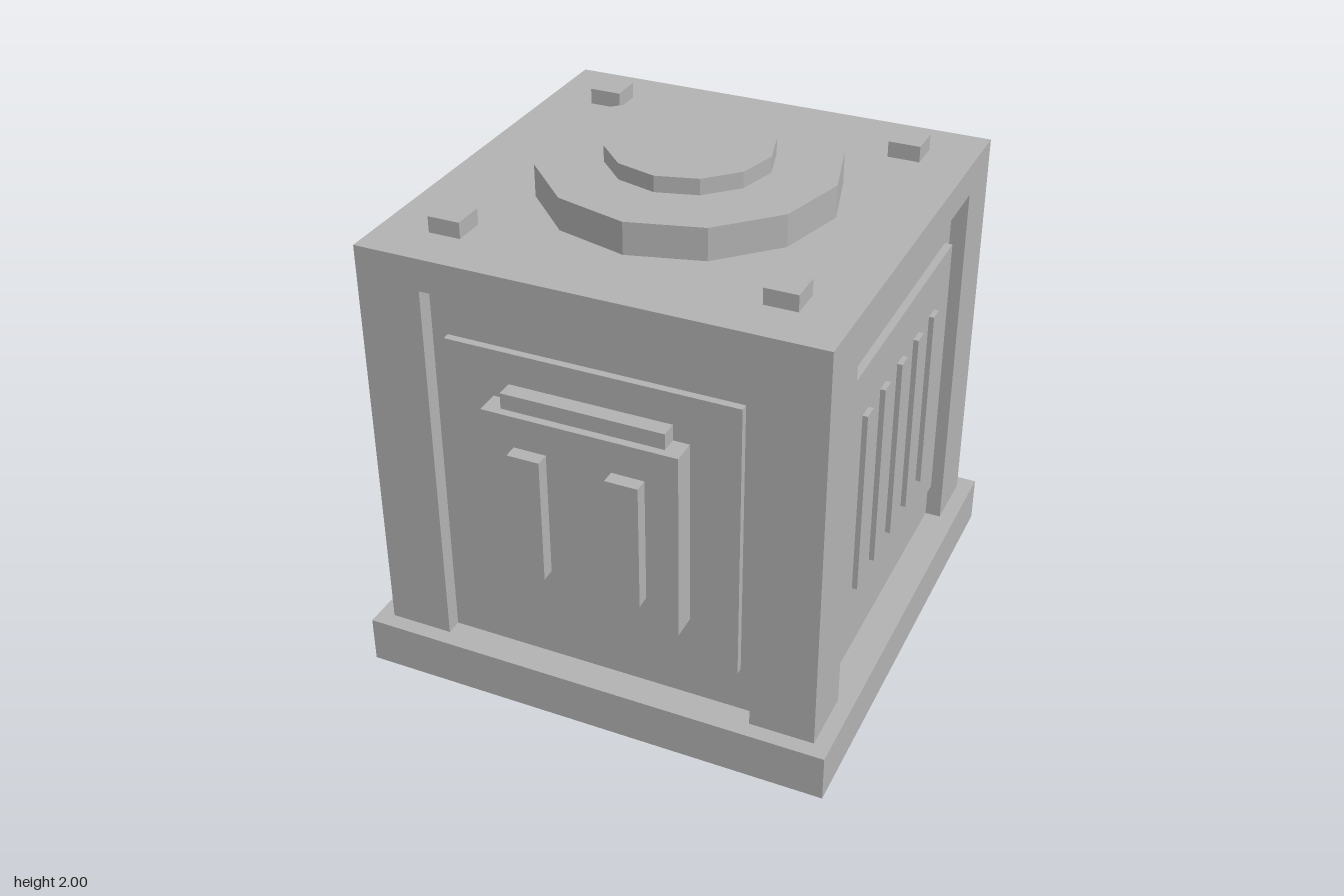
import * as THREE from 'three';

const metal = new THREE.MeshStandardMaterial({ color: 0xb2b2b2 });
metal.name = 'grey metal';

const CORE = 0.8125; // half width at the recess floors
const BODY = 0.875;  // half width at the corner posts
const BASE = 0.1875, TOP = 1.8125;

function add(parent, name, geometry) {
  const mesh = new THREE.Mesh(geometry, metal);
  mesh.name = name;
  parent.add(mesh);
  return mesh;
}

// Box given by its min and max on each axis
function block(parent, name, [x0, x1], [y0, y1], [z0, z1]) {
  const mesh = add(parent, name, new THREE.BoxGeometry(x1 - x0, y1 - y0, z1 - z0));
  mesh.position.set((x0 + x1) / 2, (y0 + y1) / 2, (z0 + z1) / 2);
  return mesh;
}

// Group whose local +z points out of one wall of the body
function wall(parent, name, angle) {
  const group = new THREE.Group();
  group.name = name;
  group.rotation.y = angle;
  parent.add(group);
  return group;
}

// Thin raised sheet common to the front and both sides
function panel(group) {
  block(group, 'wallPanel', [-0.5625, 0.5625], [0.375, 1.5], [CORE - 0.02, 0.842]);
}

function rect(path, w, y0, y1) {
  path.moveTo(-w, y0);
  path.lineTo(w, y0);
  path.lineTo(w, y1);
  path.lineTo(-w, y1);
  path.closePath();
  return path;
}

export function createModel() {
  const model = new THREE.Group();
  model.name = 'furnace';
  const unit = new THREE.Group();
  unit.name = 'furnaceUnit';
  unit.position.z = -0.027;
  model.add(unit);

  // Plinth, recessed core, top slab and corner posts
  block(unit, 'plinth', [-0.9375, 0.9375], [0, BASE], [-0.9375, 0.9375]);
  block(unit, 'core', [-CORE, CORE], [BASE, 1.6875], [-CORE, CORE]);
  block(unit, 'topSlab', [-BODY, BODY], [1.6875, TOP], [-BODY, BODY]);
  for (const sx of [-1, 1]) {
    for (const sz of [-1, 1]) {
      const post = block(unit, 'cornerPost', [0.625, BODY], [BASE, 1.6875], [0.625, BODY]);
      post.position.x *= sx;
      post.position.z *= sz;
      const stud = block(unit, 'topStud', [0.5625, 0.6875], [TOP, 1.875], [0.5625, 0.6875]);
      stud.position.x *= sx;
      stud.position.z *= sz;
    }
  }

  // Stepped twelve-sided cap
  for (const [name, r, y0, y1] of [['lowerCap', 0.5625, TOP, 1.9375], ['upperCap', 0.3125, 1.9375, 2]]) {
    const geometry = new THREE.CylinderGeometry(r, r, y1 - y0, 12).toNonIndexed();
    geometry.computeVertexNormals();
    add(unit, name, geometry).position.y = (y0 + y1) / 2;
  }

  // Front: hatch with two grips and a lip above it
  const front = wall(unit, 'frontWall', 0);
  panel(front);
  block(front, 'hatch', [-0.375, 0.375], [0.5625, 1.3125], [CORE, 0.9375]);
  block(front, 'hatchLip', [-0.3125, 0.3125], [1.3125, 1.375], [CORE, 0.906]);
  for (const x of [-0.25, 0.125]) {
    block(front, 'hatchGrip', [x, x + 0.125], [0.6875, 1.1875], [0.9375, 0.991]);
  }

  // Sides: five vent slats, at the same depths on both
  for (const s of [-1, 1]) {
    const side = wall(unit, s > 0 ? 'leftWall' : 'rightWall', s * Math.PI / 2);
    panel(side);
    for (let i = 0; i < 5; i++) {
      const x = -s * (-0.344 + i * 0.1875);
      block(side, 'ventSlat', [x - 0.031, x + 0.031], [0.5625, 1.3125], [0.84, 0.862]);
    }
  }

  // Back: oven door frame around an open bay (local x runs opposite to model x)
  const back = wall(unit, 'backWall', Math.PI);
  const outline = rect(new THREE.Shape(), 0.625, 0.4375, 1.4375);
  outline.holes.push(rect(new THREE.Path(), 0.535, 0.53, 1.335));
  const frame = new THREE.ExtrudeGeometry(outline, { depth: 0.906 - CORE, bevelEnabled: false });
  add(back, 'ovenFrame', frame).position.z = CORE;
  block(back, 'ovenHandle', [-0.3125, 0.3125], [1.25, 1.3125], [CORE, 0.86]);
  block(back, 'ovenShelf', [-0.375, 0.375], [0.5625, 0.635], [CORE, 0.86]);
  block(back, 'ovenShelfStep', [-0.1875, 0.1875], [0.635, 0.69], [CORE, 0.85]);

  // Controls above the oven and drawer below it
  for (const x of [-0.61, -0.4375]) {
    block(back, 'controlKnob', [x, x + 0.12], [1.5, 1.625], [CORE, 0.87]);
  }
  block(back, 'controlPanel', [-0.125, 0.625], [1.5, 1.625], [CORE, 0.842]);
  block(back, 'drawer', [-0.62, 0.62], [0.22, 0.375], [CORE, 0.842]);

  return model;
}
